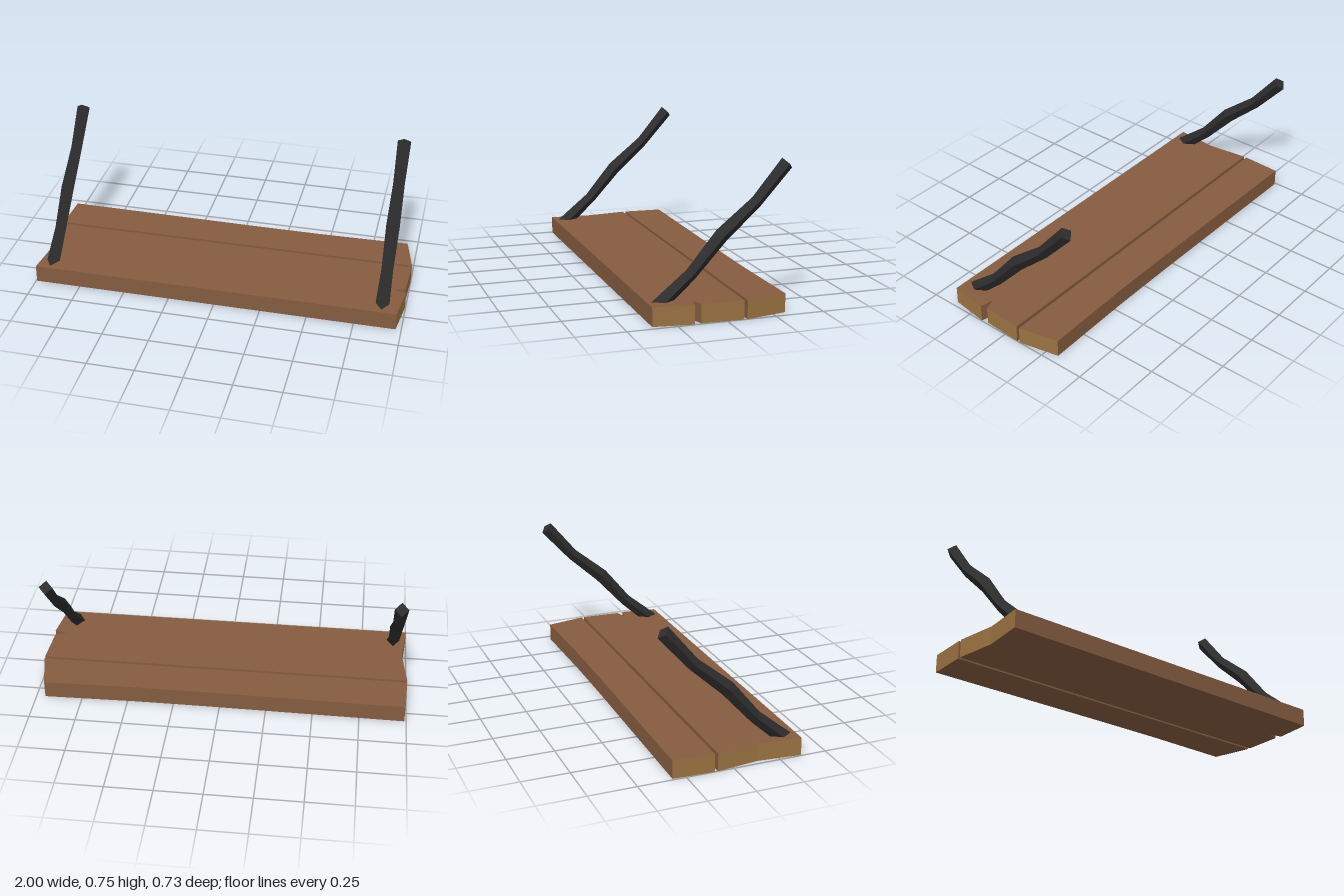
import * as THREE from 'three';

const THICK = 0.095;
const wood = new THREE.MeshStandardMaterial({ color: 0x855c3f });
const endGrain = new THREE.MeshStandardMaterial({ color: 0x9c7442 });
const dark = new THREE.MeshStandardMaterial({ color: 0x2d2d2d, flatShading: true });

// Board cut from an outline of [x, z] points; faces pointing along x show end grain
function plank(name, outline) {
  const shape = new THREE.Shape(outline.map(([x, z]) => new THREE.Vector2(x, -z)));
  const geo = new THREE.ExtrudeGeometry(shape, { depth: THICK, bevelEnabled: false });
  geo.rotateX(-Math.PI / 2);
  const normal = geo.attributes.normal;
  geo.clearGroups();
  for (let i = 0; i < normal.count; i += 3) {
    geo.addGroup(i, 3, Math.abs(normal.getX(i)) > 0.7 ? 1 : 0);
  }
  const mesh = new THREE.Mesh(geo, [wood, endGrain]);
  mesh.name = name;
  return mesh;
}

// Diamond-section strand: each row is upper z, y, lower z, y, half width
const STRAND = [
  [0.345, 0.094, 0.23, 0.094, 0.036],
  [0.167, 0.24, 0.122, 0.193, 0.031],
  [0.02, 0.42, -0.035, 0.365, 0.036],
  [-0.165, 0.57, -0.207, 0.522, 0.031],
  [-0.315, 0.752, -0.367, 0.70, 0.036],
];

function strand(name, x) {
  const pos = [], index = [];
  STRAND.forEach(([z0, y0, z1, y1, w], k) => {
    const y = (y0 + y1) / 2, z = (z0 + z1) / 2;
    pos.push(0, y0, z0, w, y, z, 0, y1, z1, -w, y, z);
    if (k === 0) return;
    for (let i = 0; i < 4; i++) {
      const a = (k - 1) * 4 + i, b = (k - 1) * 4 + (i + 1) % 4;
      index.push(a, b, b + 4, a, b + 4, a + 4);
    }
  });
  const t = (STRAND.length - 1) * 4;
  index.push(t, t + 1, t + 2, t, t + 2, t + 3, 2, 1, 0, 3, 2, 0);
  const indexed = new THREE.BufferGeometry();
  indexed.setAttribute('position', new THREE.Float32BufferAttribute(pos, 3));
  indexed.setIndex(index);
  const geo = indexed.toNonIndexed();
  geo.computeVertexNormals();
  const mesh = new THREE.Mesh(geo, dark);
  mesh.name = name;
  mesh.position.x = x;
  return mesh;
}

export function createModel() {
  const group = new THREE.Group();
  group.name = 'hangingShelf';
  // Wide front board with a split in its left end
  group.add(plank('frontPlank', [
    [-0.995, 0.367], [0.97, 0.367], [0.997, 0.165], [0.925, 0.15], [0.99, 0.129],
    [1, -0.085], [-1, -0.085], [-0.972, 0.14],
  ]));
  // Narrow back board
  group.add(plank('backPlank', [
    [-1, -0.102], [1, -0.102], [0.952, -0.318], [0.45, -0.308], [0.1, -0.308], [-0.99, -0.318],
  ]));
  // Slanted supports
  group.add(strand('rightSupport', -0.922), strand('leftSupport', 0.887));
  return group;
}
